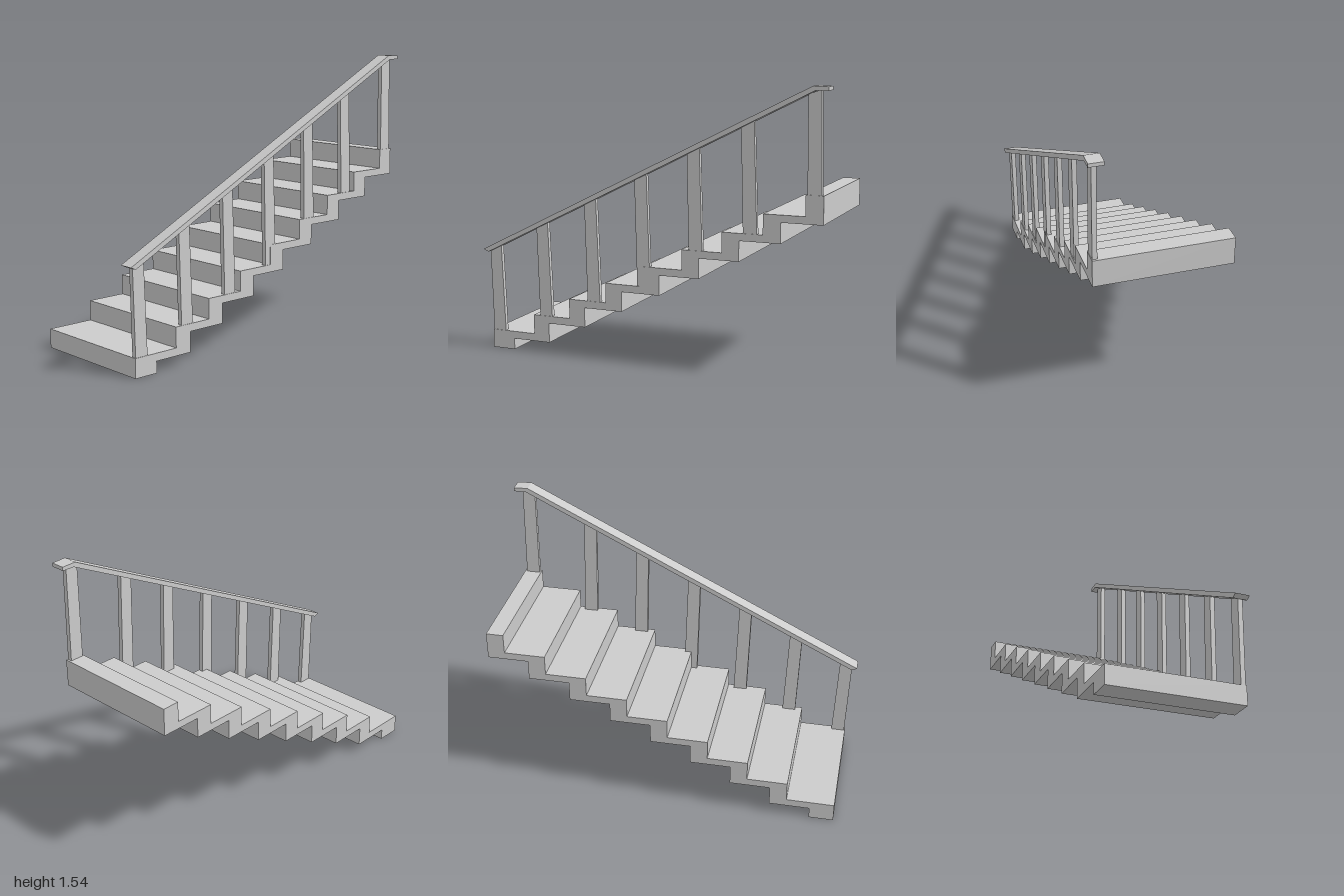
import * as THREE from 'three';

const material = new THREE.MeshStandardMaterial({ color: 0xcccccc, flatShading: true });

// Extrudes a [z, y] side profile across the width from x0 to x1
function sideProfile(name, points, x0, x1) {
  const shape = new THREE.Shape(points.map(([z, y]) => new THREE.Vector2(-z, y)));
  const geometry = new THREE.ExtrudeGeometry(shape, { depth: x1 - x0, bevelEnabled: false });
  geometry.rotateY(Math.PI / 2);
  geometry.translate(x0, 0, 0);
  const mesh = new THREE.Mesh(geometry, material);
  mesh.name = name;
  return mesh;
}

export function createModel() {
  const group = new THREE.Group();
  group.name = 'staircase';

  // Folded slab of nine steps: stepped top going back, stepped underside returning
  const count = 9, run = 0.2257, rise = 0.1107;
  const top = [], under = [];
  for (let i = 0; i < count; i++) {
    const front = i === 0 ? 0.962 : 0.921 - run * i;
    const back = i === count - 1 ? -0.98 : 0.921 - run * (i + 1);
    const y = 0.105 + rise * i;
    top.push([front, y], [back, y]);
  }
  for (let i = count - 2; i >= 0; i--) {
    const y = 0.063 + 0.111 * i;
    under.push([0.825 - run * (i + 1), y], [0.825 - run * i, y]);
  }
  // The rearmost underside corner lines up with the back face
  under[0][0] = -0.98;
  group.add(sideProfile('steps', [[0.962, 0], ...top, ...under, [0.825, 0]], -0.382, 0.355));

  // Slightly leaning balusters: bottom front z, top front z, foot height, step index
  const balusters = [
    [0.957, 0.97, 0], [0.655, 0.67, 1], [0.355, 0.37, 2], [0.053, 0.068, 3],
    [-0.247, -0.235, 5], [-0.55, -0.535, 6], [-0.893, -0.888, 8],
  ];
  const railUnder = z => Math.min(0.562 + (0.97 - z) * 0.5026, 1.52);
  for (const [zb, zt, step] of balusters) {
    const foot = 0.1 + rise * step;
    group.add(sideProfile('baluster', [
      [zb, foot], [zt, railUnder(zt) + 0.003],
      [zt - 0.07, railUnder(zt - 0.07) + 0.003], [zb - 0.076, foot],
    ], 0.326, 0.352));
  }

  // Sloping handrail with a short level end at the top
  group.add(sideProfile('handrail', [
    [1, 0.576], [-0.92, 1.541], [-1, 1.538], [-1, 1.518], [-0.93, 1.517], [0.97, 0.562],
  ], 0.298, 0.378));

  return group;
}
